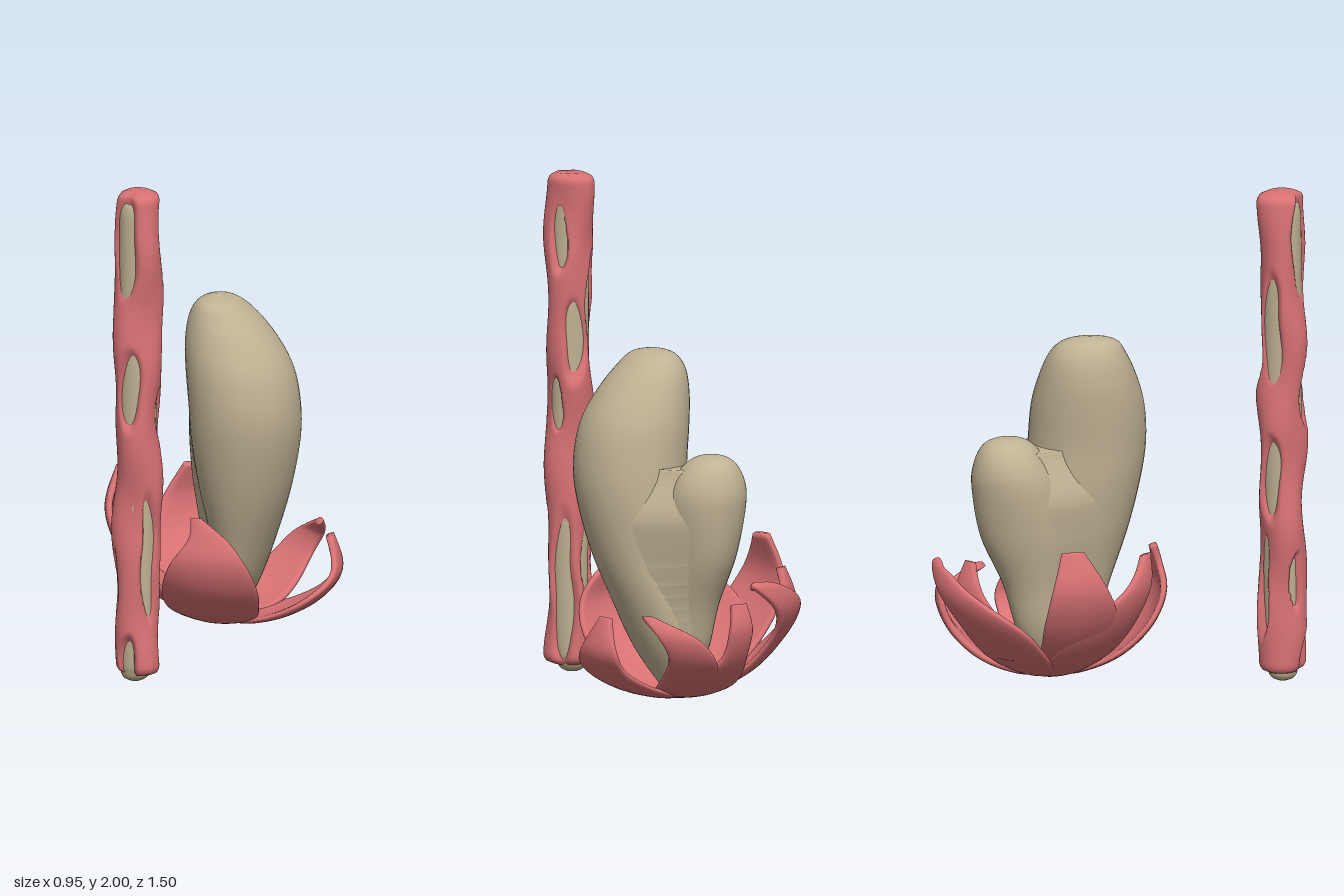
import * as THREE from 'three';

const rad = THREE.MathUtils.degToRad;
const beige = new THREE.MeshStandardMaterial({ color: 0xc0b293, side: THREE.DoubleSide });
const red = new THREE.MeshStandardMaterial({ color: 0xd97274, side: THREE.DoubleSide });

// Smooth interpolation through rows of numbers
function smoothRows(rows, steps) {
  const out = [];
  for (let i = 0; i <= steps; i++) {
    const t = (i / steps) * (rows.length - 1);
    const k = Math.min(Math.floor(t), rows.length - 2), f = t - k;
    const row = j => rows[THREE.MathUtils.clamp(j, 0, rows.length - 1)];
    out.push(rows[k].map((b, c) => {
      const a = row(k - 1)[c], d = row(k + 1)[c], e = row(k + 2)[c];
      const m0 = (d - a) / 2, m1 = (e - b) / 2;
      return b + f * m0 + f * f * (3 * (d - b) - 2 * m0 - m1) + f * f * f * (2 * (b - d) + m0 + m1);
    }));
  }
  return out;
}

// Skin over closed rings of [x, y, z] points, with fan caps
function loft(rings) {
  const n = rings[0].length, pos = rings.flat(2), idx = [];
  for (let i = 0; i < rings.length - 1; i++) {
    for (let j = 0; j < n; j++) {
      const a = i * n + j, b = i * n + (j + 1) % n;
      idx.push(a, b, b + n, a, b + n, a + n);
    }
  }
  [0, rings.length - 1].forEach((r, end) => {
    const c = pos.length / 3;
    for (let k = 0; k < 3; k++) pos.push(rings[r].reduce((s, p) => s + p[k], 0) / n);
    for (let j = 0; j < n; j++) {
      const a = r * n + j, b = r * n + (j + 1) % n;
      end ? idx.push(a, b, c) : idx.push(b, a, c);
    }
  });
  const g = new THREE.BufferGeometry();
  g.setAttribute('position', new THREE.Float32BufferAttribute(pos, 3));
  g.setIndex(idx);
  g.computeVertexNormals();
  return g;
}

function add(parent, name, geometry, material) {
  const mesh = new THREE.Mesh(geometry, material);
  mesh.name = name;
  parent.add(mesh);
}

// Horizontal ring around one or more ellipses [centre x, centre z, radius x, radius z] (their hull)
function hullRing(y, ellipses, n) {
  return Array.from({ length: n }, (_, j) => {
    const s = Math.sin((j / n) * Math.PI * 2), c = Math.cos((j / n) * Math.PI * 2);
    let best = -Infinity, point;
    for (const [cx, cz, rx, rz] of ellipses) {
      const p = [cx + Math.max(rx, 0.002) * s, y, cz + Math.max(rz, 0.002) * c];
      const reach = p[0] * s + p[2] * c;
      if (reach > best) [best, point] = [reach, p];
    }
    return point;
  });
}

// Upright lobe from rows of [y, centre x, centre z, radius x, radius z]
const lobe = rows => loft(smoothRows(rows, 48).map(([y, ...e]) => hullRing(y, [e], 40)));

// Thick curled petal from rows of [angle, radius, y, half angle], around the calyx centre
function petal(rows) {
  const N = 14, data = smoothRows(rows, 32);
  return loft(data.map(([a, r, y, h], i) => {
    const p = data[Math.max(i - 1, 0)], q = data[Math.min(i + 1, 32)];
    const len = Math.hypot(q[1] - p[1], q[2] - p[2]) || 1;
    const nr = (q[2] - p[2]) / len, ny = -(q[1] - p[1]) / len;
    const ring = [];
    for (let j = 0; j < 2 * N; j++) {
      const phi = (j / (2 * N)) * Math.PI * 2;
      const u = -Math.cos(phi), t = Math.sign(Math.sin(phi)) * Math.sqrt(Math.abs(Math.sin(phi))) * 0.017;
      const ang = rad(a + u * Math.max(h, 1)), rr = r + nr * t;
      ring.push([0.01 + rr * Math.sin(ang), Math.max(y + ny * t, 0.018), -0.28 + rr * Math.cos(ang)]);
    }
    return ring;
  }));
}

// Column skin radius: gentle bumps, sinking below the core inside each opening
const openings = [ // angle, y, half angle, half height
  [-28, 1.81, 36, 0.2], [-8, 1.2, 27, 0.14], [45, 0.52, 18, 0.22], [-12, 0.08, 22, 0.1],
  [115, 1.73, 19, 0.11], [158, 1.33, 25, 0.14], [105, 1.08, 18, 0.09], [126, 0.32, 30, 0.28],
  [-130, 1.46, 27, 0.19], [-130, 0.84, 25, 0.15], [-158, 0.38, 17, 0.18], [-60, 0.42, 11, 0.1],
];
function skinRadius(deg, y) {
  const a = rad(deg);
  let r = 0.091 + 0.007 * Math.sin(a * 2 + y * 7) + 0.004 * Math.sin(a * 3 - y * 11) + 0.005 * Math.sin(y * 15 + a);
  for (const [oa, oy, ha, hy] of openings) {
    const da = ((deg - oa + 540) % 360) - 180 + 5 * Math.sin(y * 18);
    const d = Math.hypot(da / ha, (y - oy) / hy);
    r -= 0.034 * (1 - THREE.MathUtils.smoothstep(d, 0.75, 1.35));
  }
  return r;
}

export function createModel() {
  const model = new THREE.Group();

  // Column: plain core inside a perforated skin
  const column = new THREE.Group();
  column.name = 'column';
  column.position.set(-0.107, 0, 0.645);
  model.add(column);
  add(column, 'columnCore', lobe([[0, -0.012, 0, 0.025, 0.025], [0.012, -0.012, 0, 0.046, 0.046], [0.04, -0.01, 0, 0.06, 0.06],
    [0.12, -0.004, 0, 0.07, 0.07], [0.5, 0, 0, 0.075, 0.075], [1.2, 0, 0, 0.076, 0.076], [1.8, 0, 0, 0.075, 0.075],
    [1.93, 0, 0, 0.07, 0.07], [1.97, 0, 0, 0.05, 0.05]]), beige);
  const skinRings = [];
  for (let i = 0; i <= 170; i++) {
    const y = 0.03 + 1.97 * i / 170;
    const edge = Math.min(1, Math.min(y - 0.03, 2 - y) / 0.04);
    const round = 0.62 + 0.38 * Math.sqrt(1 - (1 - edge) ** 2);
    skinRings.push(Array.from({ length: 64 }, (_, j) => {
      const deg = j * 360 / 64, r = skinRadius(deg, y) * round;
      return [r * Math.sin(rad(deg)), y, r * Math.cos(rad(deg))];
    }));
  }
  add(column, 'columnSkin', loft(skinRings), red);

  // Body: tall lobe and short lobe, fused below by a hull around both
  const body = new THREE.Group();
  body.name = 'body';
  model.add(body);
  const tall = [[0.018, 0.03, -0.27, 0.02, 0.02], [0.2, 0.06, -0.24, 0.09, 0.15], [0.4, 0.1, -0.2, 0.13, 0.19],
    [0.6, 0.12, -0.15, 0.18, 0.21], [0.8, 0.13, -0.12, 0.215, 0.23], [0.95, 0.13, -0.105, 0.222, 0.235],
    [1.1, 0.11, -0.105, 0.215, 0.225], [1.22, 0.075, -0.11, 0.185, 0.195], [1.32, 0.04, -0.115, 0.135, 0.155],
    [1.38, 0.02, -0.11, 0.075, 0.105], [1.4, 0.01, -0.11, 0, 0]];
  const short = [[0.018, 0.02, -0.28, 0.02, 0.02], [0.2, 0, -0.3, 0.08, 0.1], [0.4, 0, -0.33, 0.11, 0.13],
    [0.6, -0.01, -0.37, 0.14, 0.18], [0.8, -0.015, -0.41, 0.16, 0.175], [0.9, -0.02, -0.43, 0.145, 0.147],
    [0.97, -0.025, -0.44, 0.1, 0.105], [1, -0.03, -0.44, 0.05, 0.055], [1.005, -0.03, -0.44, 0, 0]];
  add(body, 'tallLobe', lobe(tall), beige);
  add(body, 'shortLobe', lobe(short), beige);
  const tallLow = smoothRows(tall.slice(0, 6), 40), shortLow = smoothRows(short.slice(0, 6), 40);
  add(body, 'lobeWeb', loft(tallLow.map((t, i) => {
    const s = shortLow[i];
    const k = 0.985 * (1 - 0.35 * THREE.MathUtils.smoothstep(t[0], 0.72, 0.97));
    const shrink = ([, cx, cz, rx, rz]) => [cx, cz, rx * k, rz * k];
    return hullRing(t[0], [shrink(t), shrink(s)], 64);
  })), beige);

  // Calyx: overlapping petals rising from a shared base
  const calyx = new THREE.Group();
  calyx.name = 'calyx';
  model.add(calyx);
  const petals = {
    frontPetal: [[2, 0.02, 0.035, 60], [2, 0.15, 0.06, 52], [2, 0.3, 0.13, 38], [4, 0.41, 0.24, 28], [5, 0.46, 0.36, 19], [5, 0.445, 0.46, 10], [-2, 0.42, 0.54, 3]],
    rightFrontPetal: [[-70, 0.02, 0.035, 55], [-68, 0.15, 0.07, 42], [-65, 0.3, 0.17, 30], [-58, 0.4, 0.3, 22], [-44, 0.45, 0.44, 11], [-33, 0.43, 0.56, 4]],
    rightPetal: [[-80, 0.02, 0.035, 55], [-80, 0.15, 0.07, 42], [-78, 0.3, 0.18, 26], [-78, 0.42, 0.33, 21], [-81, 0.47, 0.48, 14], [-84, 0.43, 0.63, 6]],
    rightBackPetal: [[-125, 0.02, 0.035, 55], [-125, 0.15, 0.07, 42], [-126, 0.3, 0.16, 30], [-132, 0.42, 0.3, 22], [-146, 0.47, 0.41, 16], [-165, 0.46, 0.5, 10], [-173, 0.44, 0.51, 3]],
    rightBackSpur: [[-128, 0.3, 0.16, 22], [-134, 0.41, 0.29, 17], [-141, 0.45, 0.43, 10], [-144, 0.42, 0.56, 3]],
    backPetal: [[178, 0.02, 0.035, 55], [178, 0.15, 0.06, 42], [178, 0.28, 0.12, 21], [179, 0.38, 0.22, 9], [179, 0.43, 0.34, 7], [179, 0.41, 0.44, 5]],
    leftBackPetal: [[150, 0.02, 0.035, 55], [150, 0.15, 0.06, 42], [152, 0.28, 0.12, 24], [152, 0.39, 0.22, 14], [143, 0.43, 0.32, 10], [126, 0.39, 0.39, 4]],
    leftPetal: [[90, 0.02, 0.035, 60], [88, 0.15, 0.05, 50], [88, 0.28, 0.09, 34], [90, 0.39, 0.16, 22], [97, 0.445, 0.25, 13], [99, 0.41, 0.38, 4]],
  };
  for (const [name, rows] of Object.entries(petals)) add(calyx, name, petal(rows), red);

  return model;
}
